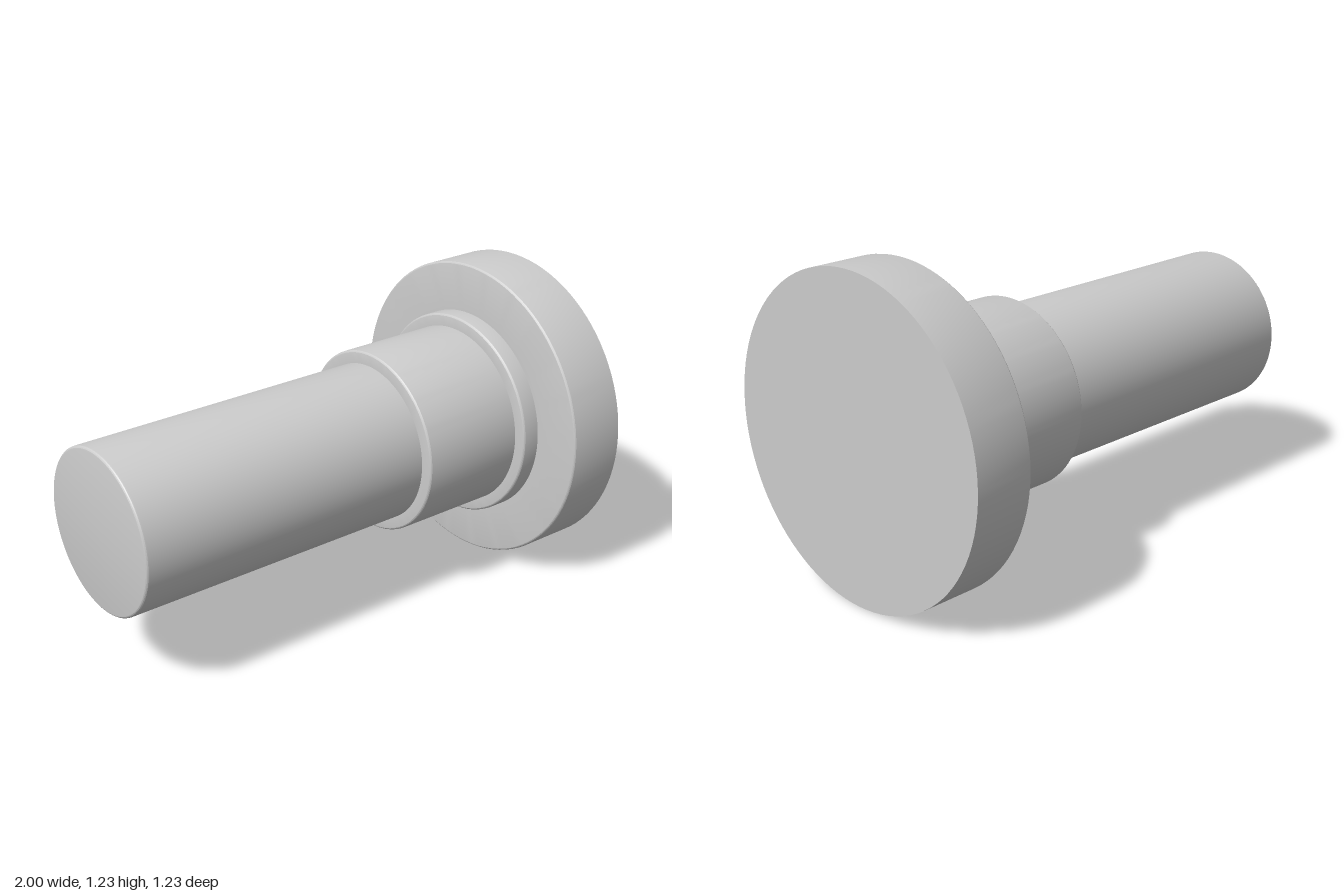
import * as THREE from 'three';
import { toCreasedNormals } from 'three/addons/utils/BufferGeometryUtils.js';

const HEAD_RADIUS = 0.617;
const ROUND = 0.012;

// One turned section along x: annular shoulder, rounded edge, cylindrical wall
function section(name, innerRadius, radius, x0, x1, capped, material) {
  const profile = [new THREE.Vector2(innerRadius, x0)];
  const steps = 4;
  for (let i = 0; i <= steps; i++) {
    const a = (i / steps) * Math.PI / 2;
    profile.push(new THREE.Vector2(
      radius - ROUND + ROUND * Math.sin(a),
      x0 + ROUND - ROUND * Math.cos(a)
    ));
  }
  profile.push(new THREE.Vector2(radius, x1));
  if (capped) profile.push(new THREE.Vector2(0, x1));

  const geometry = toCreasedNormals(new THREE.LatheGeometry(profile, 96), 0.3);
  geometry.rotateZ(-Math.PI / 2); // turning axis from y to x
  const mesh = new THREE.Mesh(geometry, material);
  mesh.name = name;
  mesh.position.y = HEAD_RADIUS;
  return mesh;
}

export function createModel() {
  const material = new THREE.MeshStandardMaterial({ color: 0xcccccc });
  const group = new THREE.Group();
  group.name = 'steppedPin';
  group.add(
    section('shank', 0, 0.317, -1, 0.235, false, material),
    section('shoulder', 0.317, 0.368, 0.235, 0.68, false, material),
    section('collar', 0.368, 0.418, 0.68, 0.755, false, material),
    section('head', 0.418, HEAD_RADIUS, 0.755, 1, true, material)
  );
  return group;
}
